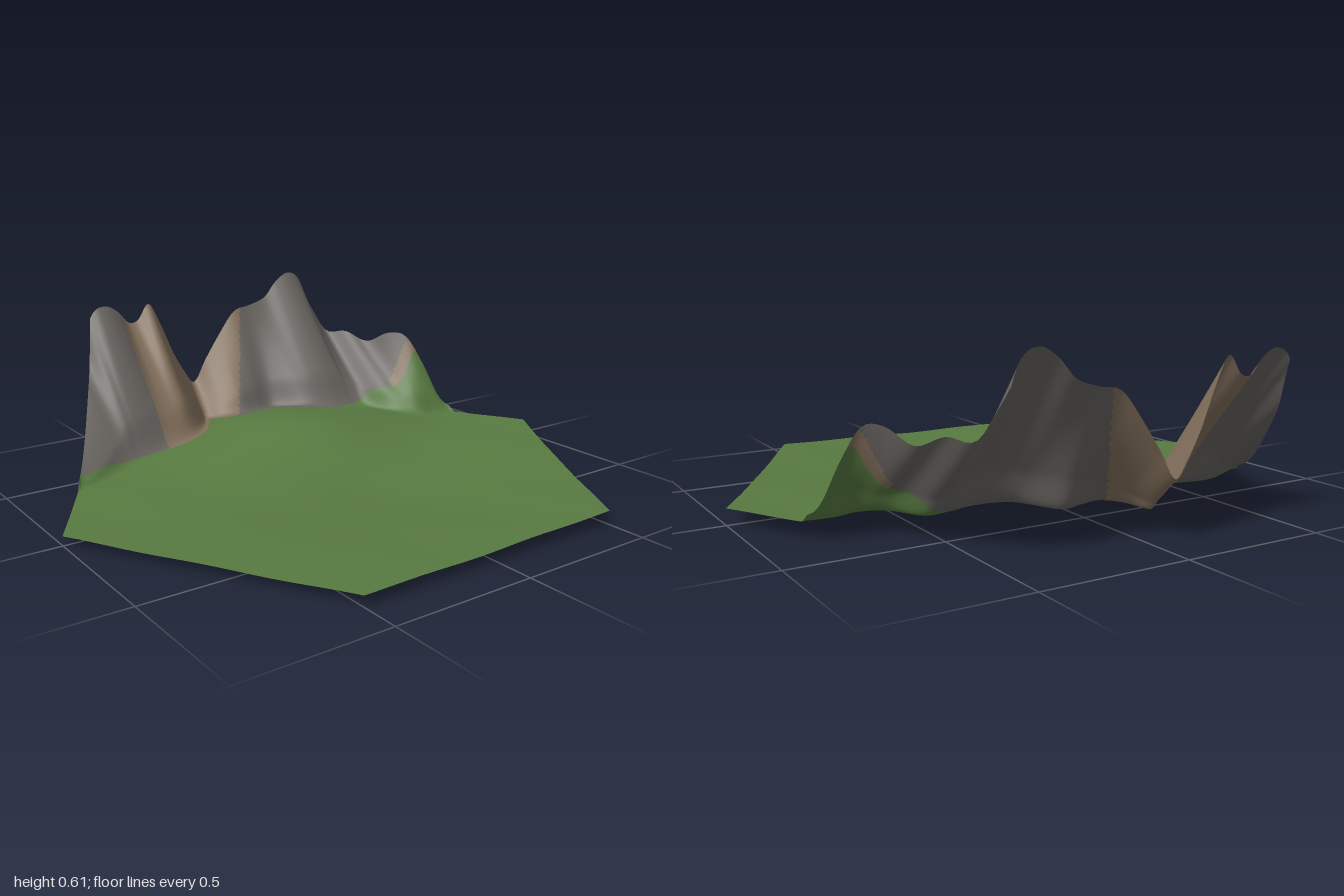
import * as THREE from 'three';

// Smooth curve through [z, value] pairs, constant past both ends
function curve(points) {
  const spline = new THREE.CubicInterpolant(points.map(p => p[0]), points.map(p => p[1]), 1);
  const first = points[0], last = points[points.length - 1];
  return z => (z <= first[0] ? first[1] : z >= last[0] ? last[1] : spline.evaluate(z)[0]);
}

// Height of the cliff where it meets the tile's border
const crest = curve([
  [-0.87, 0.07], [-0.82, 0.11], [-0.78, 0.25], [-0.74, 0.365], [-0.7, 0.375], [-0.65, 0.33],
  [-0.6, 0.365], [-0.55, 0.365], [-0.52, 0.45], [-0.48, 0.57], [-0.42, 0.615], [-0.35, 0.58],
  [-0.3, 0.525], [-0.22, 0.495], [-0.14, 0.475], [-0.07, 0.39], [0, 0.29], [0.06, 0.2],
  [0.1, 0.25], [0.15, 0.34], [0.2, 0.46], [0.25, 0.55], [0.3, 0.49], [0.34, 0.485],
  [0.38, 0.53], [0.44, 0.56], [0.5, 0.52], [0.55, 0.36], [0.6, 0.27], [0.68, 0.15],
  [0.75, 0.08], [0.82, 0.055],
]);

// x of the line between rock and grass
const rockLine = curve([
  [-0.84, -0.4], [-0.75, -0.41], [-0.68, -0.4], [-0.62, -0.43], [-0.56, -0.5], [-0.48, -0.5],
  [-0.4, -0.49], [-0.3, -0.52], [-0.2, -0.62], [-0.12, -0.61], [-0.05, -0.6], [0.03, -0.64],
  [0.08, -0.7], [0.13, -0.62], [0.2, -0.54], [0.28, -0.5], [0.4, -0.49], [0.5, -0.48],
  [0.6, -0.46], [0.75, -0.4],
]);

// Width of the grassy slope below the rock
const lip = curve([[-0.84, 0.14], [-0.68, 0.13], [-0.6, 0.1], [-0.54, 0.05], [0.8, 0.05]]);

// Half width of the hexagon at a given z
const halfWidth = z => Math.min(Math.sqrt(3) / 2, (1 - Math.abs(z)) * Math.sqrt(3));

// Rolling ground with one low mound and one shallow hollow
function ground(x, z) {
  const moundWidth = x < -0.3 ? 0.42 : 0.27;
  const mound = Math.exp(-(((x + 0.3) / moundWidth) ** 2) - ((z + 0.1) / 0.42) ** 2);
  const hollow = Math.exp(-(((x - 0.3) / 0.35) ** 2) - ((z + 0.15) / 0.5) ** 2);
  const ripple = 0.003 * Math.sin(9 * x + 4 * z) * Math.sin(11 * z - 3 * x);
  return 0.048 - 0.012 * z + 0.1 * mound - 0.042 * hollow + ripple;
}

function height(x, z) {
  const edge = -halfWidth(z);
  const foot = rockLine(z) + lip(z);
  const base = ground(x, z);
  if (x >= foot || edge >= foot) return base;
  const t = (foot - x) / (foot - edge);
  const rise = t * THREE.MathUtils.smoothstep(t, -0.05, 0.28);
  return base + Math.max(0, crest(z) - base) * rise;
}

// Brown earth lines the ravine and a thin strip on the back knoll
function isBrown(x, z) {
  const ravine = z > -0.17 + (x + 0.866) * 0.65 && z < 0.37;
  const knoll = z < -0.64 && x > -0.445;
  return ravine || knoll;
}

export function createModel() {
  const materials = {
    grass: new THREE.MeshStandardMaterial({ color: 0x587a41, side: THREE.DoubleSide }),
    grayRock: new THREE.MeshStandardMaterial({ color: 0x686460, side: THREE.DoubleSide }),
    brownEarth: new THREE.MeshStandardMaterial({ color: 0x83705c, side: THREE.DoubleSide }),
  };
  for (const name in materials) materials[name].name = name;

  // Grid of rows along z; one column always follows the rock line
  const rows = 200, rockCols = 32, grassCols = 60, cols = rockCols + grassCols;
  const positions = [];
  for (let j = 0; j <= rows; j++) {
    const z = -1 + (2 * j) / rows;
    const w = halfWidth(z);
    const split = THREE.MathUtils.clamp(rockLine(z), -w, w);
    for (let i = 0; i <= cols; i++) {
      const x = i <= rockCols
        ? THREE.MathUtils.lerp(-w, split, i / rockCols)
        : THREE.MathUtils.lerp(split, w, ((i - rockCols) / grassCols) ** 1.4);
      positions.push(x, height(x, z), z);
    }
  }

  // Sort the cells by surface, leaving out empty ones
  const faces = { grass: [], grayRock: [], brownEarth: [] };
  const px = k => positions[3 * k], pz = k => positions[3 * k + 2];
  for (let j = 0; j < rows; j++) {
    for (let i = 0; i < cols; i++) {
      const a = j * (cols + 1) + i, b = a + 1, c = a + cols + 1, d = c + 1;
      const x = (px(a) + px(b) + px(c) + px(d)) / 4, z = (pz(a) + pz(c)) / 2;
      const kind = i >= rockCols ? 'grass' : isBrown(x, z) ? 'brownEarth' : 'grayRock';
      if (px(b) - px(a) > 1e-6) faces[kind].push(a, c, b);
      if (px(d) - px(c) > 1e-6) faces[kind].push(b, c, d);
    }
  }

  // Shared normals keep the terrain smooth across colour borders
  const whole = new THREE.BufferGeometry();
  whole.setAttribute('position', new THREE.Float32BufferAttribute(positions, 3));
  whole.setIndex([...faces.grass, ...faces.grayRock, ...faces.brownEarth]);
  whole.computeVertexNormals();

  const group = new THREE.Group();
  group.name = 'hexTerrainTile';
  const partNames = { grass: 'meadow', grayRock: 'rockCliff', brownEarth: 'ravineSlopes' };
  for (const kind in faces) {
    const geometry = new THREE.BufferGeometry();
    geometry.setAttribute('position', whole.getAttribute('position'));
    geometry.setAttribute('normal', whole.getAttribute('normal'));
    geometry.setIndex(faces[kind]);
    const mesh = new THREE.Mesh(geometry, materials[kind]);
    mesh.name = partNames[kind];
    group.add(mesh);
  }
  return group;
}
